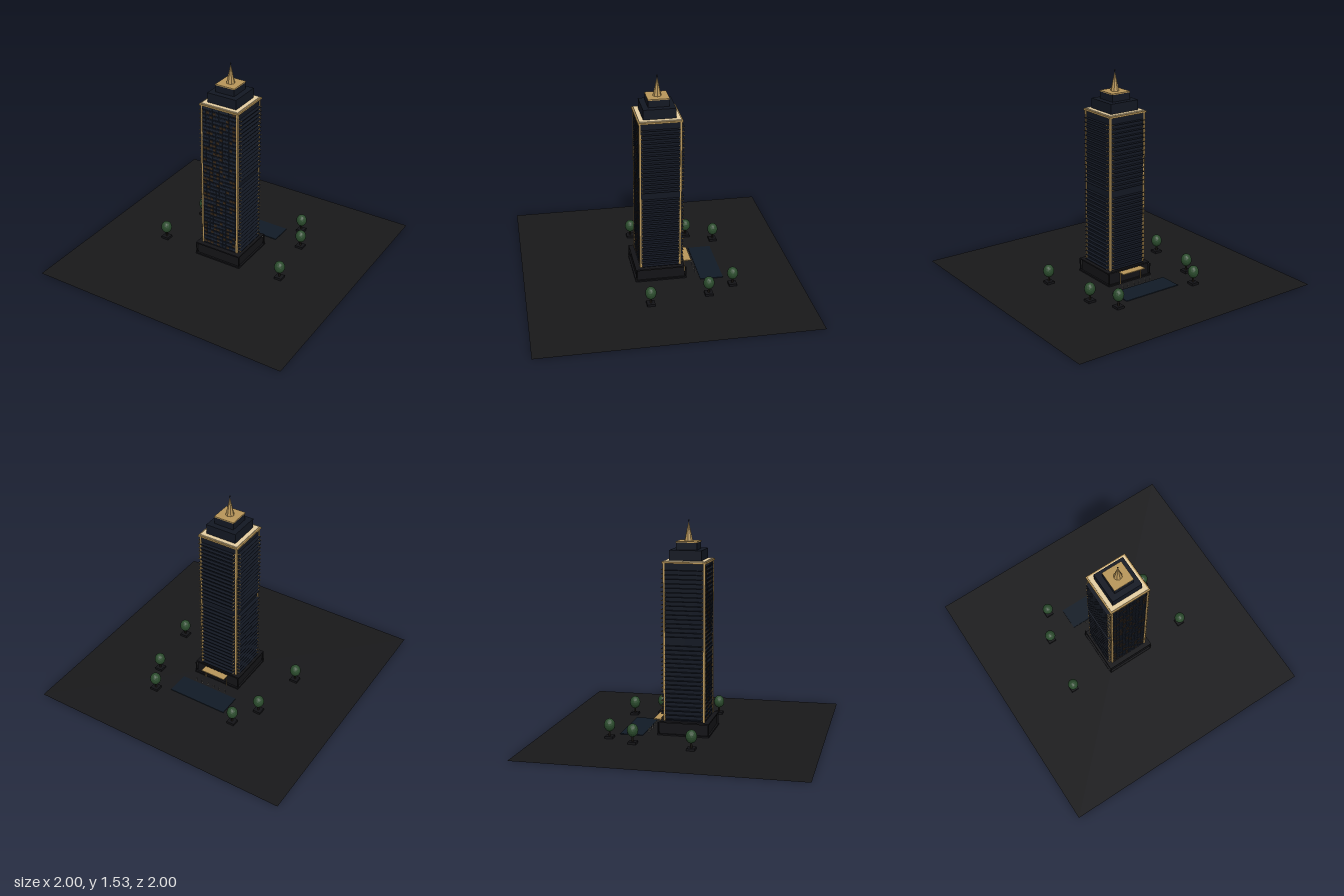
import * as THREE from 'three';
import { mergeGeometries } from 'three/addons/utils/BufferGeometryUtils.js';

const mat = (color, extra = {}) => new THREE.MeshStandardMaterial({ color, ...extra });
const M = {
  ground: mat(0x18181a, { side: THREE.DoubleSide }),
  stone: mat(0x131316),
  glass: mat(0x121722),
  band: mat(0x1a2230),
  lit: mat(0x38291a),
  gold: mat(0xb8965a),
  cream: mat(0xe6cfa2),
  water: mat(0x111b26),
  lamp: mat(0xa8a49c),
  trunk: mat(0x1c1814),
  leaf: mat(0x2a4a2c, { flatShading: true }),
};

// Box geometry centred in x and z on (x, z), spanning y0..y1
function boxGeo(w, y0, y1, d, x = 0, z = 0) {
  return new THREE.BoxGeometry(w, y1 - y0, d).translate(x, (y0 + y1) / 2, z);
}

function add(parent, name, geometry, material) {
  const mesh = new THREE.Mesh(geometry, material);
  mesh.name = name;
  parent.add(mesh);
  return mesh;
}

function seeded(seed) {
  return () => (seed = (seed * 16807) % 2147483647) / 2147483647;
}

const FLOORS = 36, BOTTOM = 0.1, TOP = 1.237;
const STEP = (TOP - BOTTOM) / FLOORS;

function podium() {
  const g = new THREE.Group();
  g.name = 'podium';
  add(g, 'podiumStep', boxGeo(0.378, 0, 0.01, 0.378), M.stone);
  add(g, 'podiumHall', boxGeo(0.352, 0.01, 0.092, 0.352), M.stone);
  add(g, 'podiumRoof', boxGeo(0.374, 0.09, 0.1, 0.36, 0, 0.007), M.stone);
  const posts = [];
  for (const sx of [-1, 1]) for (const sz of [-1, 1])
    posts.push(boxGeo(0.008, 0.01, 0.092, 0.008, sx * 0.183, sz * 0.183));
  add(g, 'podiumPosts', mergeGeometries(posts), M.stone);
  return g;
}

function tower() {
  const g = new THREE.Group();
  g.name = 'tower';
  add(g, 'shaft', boxGeo(0.296, BOTTOM, TOP, 0.296), M.glass);

  // Gold trims up the four corners
  const trims = [];
  for (const sx of [-1, 1]) for (const sz of [-1, 1])
    trims.push(boxGeo(0.013, BOTTOM, TOP, 0.013, sx * 0.146, sz * 0.146));
  add(g, 'cornerTrims', mergeGeometries(trims), M.gold);

  // Front windows: mostly dark, some glowing
  const random = seeded(77);
  const dark = [], lit = [], bands = [], fins = [], finEnds = [];
  for (let f = 0; f < FLOORS; f++) {
    const y = BOTTOM + f * STEP;
    for (let c = 0; c < 10; c++) {
      const pane = boxGeo(0.022, y + 0.009, y + 0.026, 0.003, -0.1215 + c * 0.027, 0.149);
      (random() < 0.3 ? lit : dark).push(pane);
    }
    bands.push(boxGeo(0.28, y, y + 0.004, 0.004, 0, 0.149));

    // Sunshade fins on both sides and the back, left out at the plant floor
    if (f === 18 || f === 35) continue;
    for (const a of [Math.PI / 2, -Math.PI / 2, Math.PI]) {
      fins.push(boxGeo(0.264, y + 0.012, y + 0.015, 0.026, 0, 0.161).rotateY(a));
      for (const s of [-1, 1])
        finEnds.push(boxGeo(0.004, y + 0.012, y + 0.015, 0.026, s * 0.134, 0.161).rotateY(a));
    }
  }
  add(g, 'darkWindows', mergeGeometries(dark), M.band);
  add(g, 'litWindows', mergeGeometries(lit), M.lit);
  add(g, 'floorBands', mergeGeometries(bands), M.glass);
  add(g, 'sunshadeFins', mergeGeometries(fins), M.glass);
  add(g, 'finEnds', mergeGeometries(finEnds), M.gold);
  return g;
}

function crown() {
  const g = new THREE.Group();
  g.name = 'crown';
  add(g, 'cornice', boxGeo(0.318, TOP - 0.002, 1.247, 0.318), M.gold);
  add(g, 'corniceCap', boxGeo(0.296, 1.247, 1.253, 0.296), M.cream);
  add(g, 'lowerTier', boxGeo(0.234, 1.253, 1.325, 0.234), M.glass);
  add(g, 'upperTier', boxGeo(0.15, 1.325, 1.376, 0.15), M.glass);
  add(g, 'crownSlab', boxGeo(0.154, 1.376, 1.384, 0.154), M.gold);
  add(g, 'spire', new THREE.ConeGeometry(0.031, 0.14, 8).translate(0, 1.454, 0), mat(0xb8965a, { flatShading: true }));
  add(g, 'mast', new THREE.CylinderGeometry(0.002, 0.002, 0.06, 8).translate(0, 1.5, 0), M.stone);
  add(g, 'beacon', new THREE.SphereGeometry(0.005, 10, 8).translate(0, 1.53, 0), M.stone);
  return g;
}

function entrance() {
  const g = new THREE.Group();
  g.name = 'entrance';
  add(g, 'canopy', boxGeo(0.195, 0.088, 0.094, 0.056, 0, -0.212), M.gold);
  const posts = [], lights = [];
  for (const s of [-1, 1])
    posts.push(new THREE.CylinderGeometry(0.003, 0.003, 0.088, 8).translate(s * 0.09, 0.044, -0.194));
  for (let i = 0; i < 6; i++)
    lights.push(new THREE.CylinderGeometry(0.0025, 0.0025, 0.028, 8).translate(-0.125 + i * 0.05, 0.014, -0.267));
  add(g, 'canopyPosts', mergeGeometries(posts), M.gold);
  add(g, 'bollards', mergeGeometries(lights), M.lamp);
  add(g, 'pool', boxGeo(0.46, 0, 0.005, 0.17, 0, -0.37), M.water);
  return g;
}

function tree(x, z) {
  const g = new THREE.Group();
  g.name = 'tree';
  add(g, 'planter', boxGeo(0.058, 0, 0.017, 0.058), M.stone);
  add(g, 'trunk', new THREE.CylinderGeometry(0.006, 0.008, 0.055, 8).translate(0, 0.04, 0), M.trunk);
  add(g, 'foliage', new THREE.IcosahedronGeometry(0.04, 2).scale(1, 1.2, 1).translate(0, 0.096, 0), M.leaf);
  g.position.set(x, 0, z);
  return g;
}

export function createModel() {
  const model = new THREE.Group();
  model.name = 'towerPlaza';
  add(model, 'plaza', new THREE.PlaneGeometry(2, 2).rotateX(-Math.PI / 2), M.ground);
  model.add(podium(), tower(), crown(), entrance());
  for (const s of [-1, 1])
    for (const [x, z] of [[0.335, -0.5], [0.435, -0.302], [0.497, 0.13]]) model.add(tree(s * x, z));
  return model;
}
